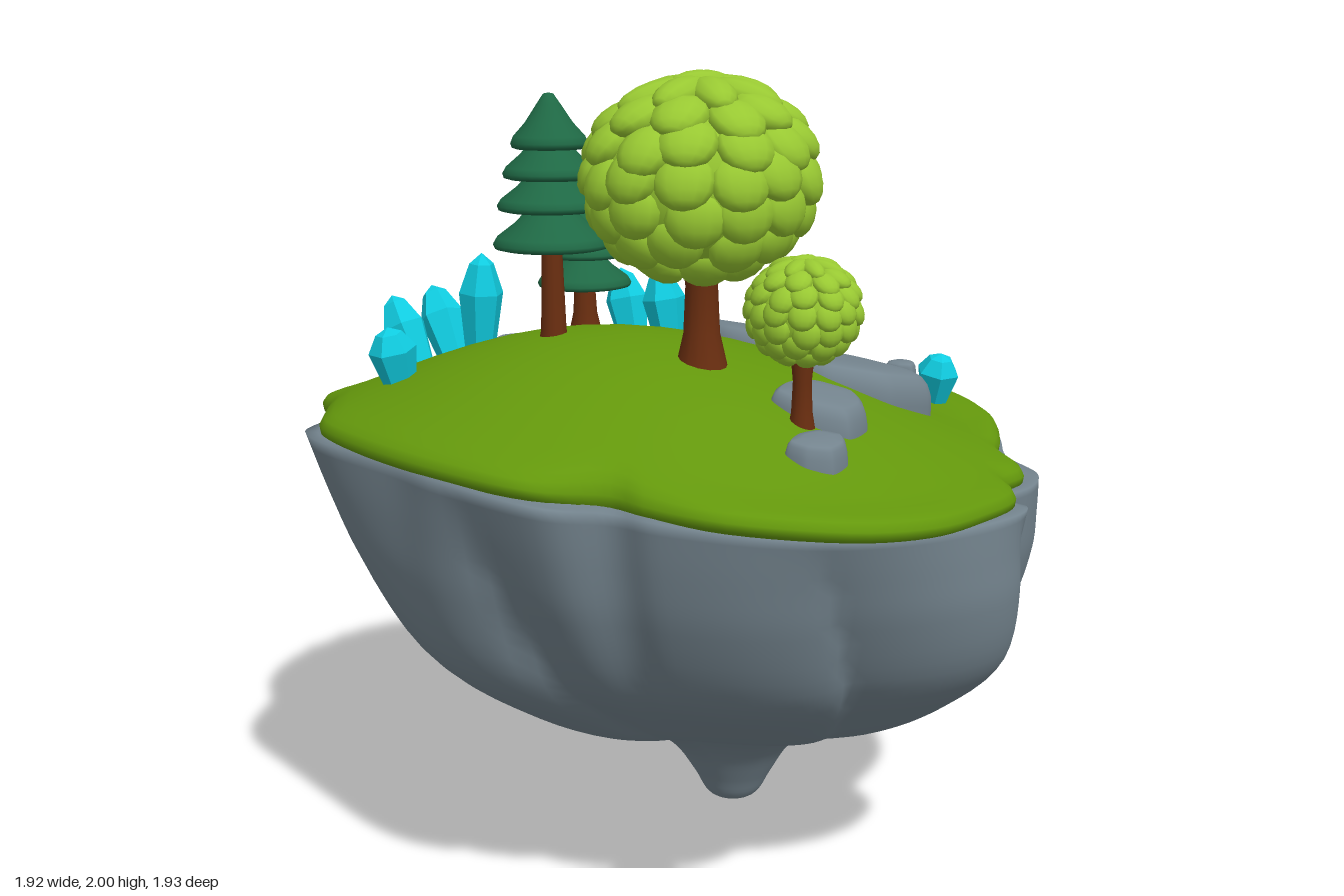
import * as THREE from 'three';
import { mergeGeometries } from 'three/addons/utils/BufferGeometryUtils.js';

const mat = (name, color) => {
  const m = new THREE.MeshStandardMaterial({ color });
  m.name = name;
  return m;
};
const lerp = THREE.MathUtils.lerp;

// Height of the turf rim and of the domed ground above it
const rimY = (x) => 1.045 - 0.085 * x + 0.055 * x * x;
const groundY = (x, z) => {
  const d = ((x + 0.2) / (x > -0.2 ? 0.92 : 0.75)) ** 2 + (z / 0.89) ** 2;
  const knoll = 0.04 * Math.exp(-((x - 0.68) ** 2 + (z - 0.05) ** 2) / 0.05);
  return rimY(x) + 0.06 + 0.26 * Math.max(0, 1 - d) ** 1.3 + knoll;
};

// Smooth closed outline in plan, clockwise seen from above
const outline = (pairs, n, tension = 0.5) => new THREE.CatmullRomCurve3(
  pairs.map(([x, z]) => new THREE.Vector3(x, 0, z)), true, 'catmullrom', tension).getPoints(n).slice(0, n);

// Skin over closed rings ordered from top centre to bottom
function loft(rings) {
  const n = rings[0].length, pos = [], idx = [];
  rings.forEach((r) => r.forEach((p) => pos.push(p.x, p.y, p.z)));
  for (let i = 0; i < rings.length - 1; i++) {
    for (let j = 0; j < n; j++) {
      const a = i * n + j, b = i * n + (j + 1) % n;
      idx.push(a, b, a + n, b, b + n, a + n);
    }
  }
  const g = new THREE.BufferGeometry();
  g.setAttribute('position', new THREE.Float32BufferAttribute(pos, 3));
  g.setIndex(idx);
  g.computeVertexNormals();
  return g;
}

const lathe = (pts, seg) => new THREE.LatheGeometry(pts.map(([r, y]) => new THREE.Vector2(r, y)), seg);

const GRASS = [[-0.2, -0.97], [0.08, -0.93], [0.23, -0.84], [0.25, -0.75], [0.16, -0.64], [0.11, -0.46], [0.26, -0.3],
  [0.4, -0.46], [0.57, -0.51], [0.73, -0.41], [0.86, -0.23], [0.95, -0.02], [0.91, 0.16], [0.81, 0.34], [0.65, 0.48],
  [0.52, 0.57], [0.39, 0.74], [0.26, 0.78], [0.16, 0.88], [-0.02, 0.93], [-0.23, 0.96], [-0.44, 0.92], [-0.64, 0.78],
  [-0.72, 0.62], [-0.75, 0.52], [-0.88, 0.41], [-0.94, 0.21], [-0.96, -0.03], [-0.93, -0.28], [-0.84, -0.44],
  [-0.75, -0.57], [-0.67, -0.73], [-0.49, -0.88]];
const ROCK = [[-0.2, -0.94], [0.1, -0.95], [0.24, -0.88], [0.41, -0.77], [0.53, -0.66], [0.62, -0.52], [0.75, -0.46],
  [0.84, -0.25], [0.94, -0.02], [0.91, 0.18], [0.79, 0.37], [0.64, 0.5], [0.59, 0.56], [0.52, 0.69], [0.4, 0.76],
  [0.25, 0.79], [0.21, 0.88], [0.05, 0.92], [-0.22, 0.92], [-0.44, 0.88], [-0.6, 0.78], [-0.72, 0.64], [-0.76, 0.54],
  [-0.89, 0.46], [-0.94, 0.2], [-0.93, 0], [-0.95, -0.25], [-0.91, -0.4], [-0.83, -0.5], [-0.73, -0.6], [-0.64, -0.75],
  [-0.46, -0.86]];

function grassGeometry() {
  const o = outline(GRASS, 160);
  // [scale, share of the height from rim to ground]
  const rows = [0, 0.1, 0.2, 0.3, 0.4, 0.5, 0.6, 0.7, 0.8, 0.88, 0.93].map((t) => [t, 1]);
  rows.push([0.965, 0.92], [0.987, 0.75], [1, 0.45], [0.997, 0.15], [0.98, 0], [0.92, -0.1]);
  return loft(rows.map(([t, s]) => o.map((p) => {
    const x = p.x * t, z = p.z * t;
    return new THREE.Vector3(x, lerp(rimY(x), groundY(x, z), s), z);
  })));
}

// Overlapping slabs: each rises steeply at one edge and fades to the next
const EDGES = [0, 0.1, 0.22, 0.33, 0.46, 0.58, 0.7, 0.83, 0.91, 1];
function slab(theta, k) {
  const u = (((theta / (2 * Math.PI) + 0.05 * k) % 1) + 1) % 1;
  const i = EDGES.findIndex((e) => e > u);
  const p = (u - EDGES[i - 1]) / (EDGES[i] - EDGES[i - 1]);
  return Math.sin(Math.PI * p ** 0.6) - 0.6;
}

function rockGeometry() {
  const o = outline(ROCK, 200), rings = [];
  for (const t of [0, 0.2, 0.4, 0.6, 0.75, 0.86, 0.93, 0.97]) {
    rings.push(o.map((p) => {
      const x = p.x * t, z = p.z * t, top = groundY(x, z) - 0.06;
      return new THREE.Vector3(x, t > 0.9 ? Math.min(top, rimY(x) + 0.01) : top, z);
    }));
  }
  // Side profile: [scale, height, sideways drift of the centre]
  const side = [[1, 1.05, 0], [0.99, 0.95, 0.01], [0.975, 0.84, 0.025], [0.91, 0.66, 0.05], [0.755, 0.51, 0.09],
    [0.59, 0.4, 0.115], [0.32, 0.3, 0.118], [0.19, 0.2, 0.125], [0.12, 0.1, 0.13], [0.075, 0.03, 0.13], [0, 0, 0.13]];
  const curve = new THREE.CatmullRomCurve3(side.map((s) => new THREE.Vector3(...s)));
  for (const { x: f, y, z: cx } of curve.getPoints(50)) {
    const k = 1 - y / 1.05;
    const amp = 0.085 * Math.sin(Math.PI * Math.min(1, k * 1.2));
    const gully = 0.16 * Math.sin(Math.PI * Math.min(1, k * 1.3) ** 0.7);
    rings.push(o.map((p) => {
      const a = Math.atan2(p.z, p.x);
      const groove = gully * Math.exp(-(((a + 1.12) / 0.17) ** 2));
      // The plan turns from the rim outline to a soft diamond, then round at the tip
      const plan = 0.94 * (1 - 0.13 * Math.sin(2 * a) ** 2 * Math.min(1, f * 2));
      const r = Math.max(0, f) * lerp(Math.hypot(p.x, p.z), plan, Math.min(1, 1.5 * k)) * (1 + amp * slab(a, k) - groove);
      const x = cx + r * Math.cos(a);
      const h = y * lerp(1, rimY(x) / 1.05, (y / 1.05) ** 3);
      return new THREE.Vector3(x, Math.max(0, h), r * Math.sin(a));
    }));
  }
  return loft(rings);
}

// Stone with a sloping flat top and rounded edges, sunk into the ground
function stoneGeometry(pairs, top, sx, sz) {
  const o = outline(pairs, 48, 0.3);
  const c = o.reduce((s, p) => s.add(p), new THREE.Vector3()).divideScalar(o.length);
  const rows = [[0, 0], [0.5, 0], [0.8, 0.004], [0.9, 0.012], [0.97, 0.03], [1.01, 0.055], [1.02, 0.085]];
  const rings = rows.map(([t, drop]) => o.map((p) => {
    const x = lerp(c.x, p.x, t), z = lerp(c.z, p.z, t);
    return new THREE.Vector3(x, top + sx * (x - c.x) + sz * (z - c.z) - drop, z);
  }));
  rings.push(o.map((p, i) => new THREE.Vector3(p.x, Math.min(rings[6][i].y - 0.01, groundY(p.x, p.z) - 0.08), p.z)));
  return loft(rings);
}
const blob = (x, z, rx, rz) => [0, 1, 2, 3, 4, 5, 6].map((i) => {
  const a = i / 7 * 2 * Math.PI, w = i % 2 ? 0.93 : 1.05;
  return [x + rx * w * Math.cos(a), z + rz * w * Math.sin(a)];
});

// Round crown covered in overlapping leaf scales
function crownGeometry() {
  const parts = [new THREE.SphereGeometry(0.94, 24, 16)], o = new THREE.Object3D();
  // [latitude, count, half width, half height, tilt]
  const rows = [[86, 2, 0.17, 0.3, 0], [66, 8, 0.19, 0.36, -0.15], [44, 10, 0.25, 0.3, -0.3], [24, 12, 0.26, 0.28, -0.3],
    [4, 13, 0.26, 0.28, -0.3], [-17, 12, 0.26, 0.28, -0.3], [-38, 10, 0.25, 0.27, -0.3], [-60, 7, 0.24, 0.26, -0.3]];
  rows.forEach(([lat, n, w, h, tilt], row) => {
    for (let i = 0; i < n; i++) {
      const wobble = Math.sin(i * 2.4 + row * 1.7);
      const f = (lat + 3 * wobble) * Math.PI / 180, a = (i + (row % 2) / 2 + 0.1 * wobble) / n * 2 * Math.PI;
      o.position.set(Math.cos(f) * Math.cos(a), Math.sin(f), Math.cos(f) * Math.sin(a)).multiplyScalar(0.9);
      o.lookAt(o.position.clone().multiplyScalar(2));
      o.rotateX(tilt);
      o.scale.set(w, h, 0.16);
      o.updateMatrix();
      parts.push(new THREE.SphereGeometry(1, 12, 8).applyMatrix4(o.matrix));
    }
  });
  return mergeGeometries(parts);
}

export function createModel() {
  const rock = mat('slate rock', 0x74848e), grass = mat('grass green', 0x64980c), leaf = mat('leaf lime', 0x98c832);
  const pine = mat('pine green', 0x1f6945), bark = mat('bark brown', 0x6a2e10), gem = mat('crystal cyan', 0x10cce0);
  const root = new THREE.Group();
  root.name = 'floatingIsland';
  const add = (name, geo, m, parent = root) => {
    const mesh = new THREE.Mesh(geo, m);
    mesh.name = name;
    parent.add(mesh);
    return mesh;
  };
  const group = (name, x, y, z) => {
    const g = new THREE.Group();
    g.name = name;
    g.position.set(x, y, z);
    root.add(g);
    return g;
  };

  add('rockBody', rockGeometry(), rock);
  add('grassTop', grassGeometry(), grass);

  // Stones: [outline, top height, slope along x, slope along z]
  const stones = [
    [[[-0.2, -0.63], [-0.09, -0.75], [0.04, -0.8], [0.22, -0.7], [0.23, -0.57], [0.04, -0.45], [-0.1, -0.52]], 1.265, -0.1, 0.2],
    [[[0.24, -0.17], [0.27, -0.37], [0.4, -0.48], [0.58, -0.4], [0.64, -0.2], [0.58, -0.05], [0.44, 0.03], [0.29, -0.05]], 1.285, -0.22, 0],
    [[[0.06, 0.2], [0.15, 0.06], [0.32, 0.04], [0.46, 0.12], [0.45, 0.34], [0.38, 0.45], [0.21, 0.46], [0.08, 0.36]], 1.285, -0.2, -0.04],
    [[[0.18, -0.68], [0.26, -0.77], [0.4, -0.74], [0.51, -0.63], [0.48, -0.52], [0.3, -0.54]], 1.12, -0.1, 0.15],
    [[[0.15, -0.48], [0.25, -0.59], [0.38, -0.57], [0.42, -0.44], [0.3, -0.36]], 1.19, -0.2, 0.2],
    [blob(-0.13, 0.54, 0.12, 0.11), 1.3, -0.08, -0.2], [blob(-0.3, 0.69, 0.08, 0.06), 1.25, 0, -0.15],
    [blob(0.69, 0.1, 0.045, 0.05), 1.195, 0, 0],
  ];
  stones.forEach(([pairs, ...top], i) => add('stone' + (i + 1), stoneGeometry(pairs, ...top), rock));

  // Hanging drip below the gully
  add('rockDrip', lathe([[0, 0.4], [0.02, 0.41], [0.032, 0.45], [0.027, 0.5], [0.015, 0.57], [0.016, 0.68], [0.025, 0.8],
    [0.05, 0.92], [0.06, 1.0], [0, 1.02]], 16), rock).position.set(0.33, 0, -0.62);

  // Round trees: [name, x, ground, z, crown centre height, crown radii, trunk radius]
  for (const [name, x, y, z, cy, rx, ry, rz, tr] of [
    ['largeRoundTree', -0.26, 1.33, 0.285, 0.435, 0.275, 0.226, 0.24, 0.05],
    ['smallRoundTree', -0.235, 1.22, 0.58, 0.28, 0.123, 0.116, 0.123, 0.028]]) {
    const g = group(name, x, y, z);
    add('trunk', lathe([[tr * 1.25, 0], [tr * 0.85, cy * 0.2], [tr * 0.75, cy * 0.45], [tr * 1.1, cy * 0.8]], 14), bark, g);
    add('crown', crownGeometry().scale(rx, ry, rz), leaf, g).position.y = cy;
  }

  // Pines with stacked skirts
  for (const [name, x, y, z, clear, s] of [['tallPine', -0.39, 1.33, -0.1, 0.26, 1], ['shortPine', -0.17, 1.33, -0.25, 0.13, 0.86]]) {
    const g = group(name, x, y, z);
    add('trunk', lathe([[0.045, 0], [0.031, 0.06], [0.022, clear + 0.08]], 12), bark, g);
    for (const [r, base, h] of [[0.14, 0, 0.13], [0.128, 0.09, 0.12], [0.113, 0.165, 0.12], [0.092, 0.235, 0.125]]) {
      const skirt = lathe([[0, 0.03], [r * 0.85, -0.004], [r * 0.97, 0], [r, 0.01], [r * 0.93, h * 0.2], [r * 0.62, h * 0.45],
        [r * 0.3, h * 0.8], [0.012, h * 0.98], [0, h]], 24);
      const m = add('skirt', skirt, pine, g);
      m.scale.setScalar(s);
      m.position.y = clear + base * s;
    }
  }

  // Crystals: [x, z, base, height, radius, lean about x, lean about z]
  [[-0.69, -0.32, 1.26, 0.15, 0.058, 0, 0.2], [-0.45, -0.59, 1.21, 0.23, 0.06, -0.5, 0.1],
    [-0.34, -0.59, 1.22, 0.24, 0.06, -0.5, -0.05], [-0.3, -0.54, 1.25, 0.28, 0.06, 0.08, 0],
    [0.05, -0.31, 1.26, 0.22, 0.058, -0.1, -0.15], [0.1, -0.22, 1.27, 0.21, 0.058, 0, -0.15],
    [0.7, 0.21, 1.1, 0.14, 0.06, 0.3, -0.1]].forEach(([x, z, y, h, r, ax, az], i) => {
    const g = lathe([[0, 0], [r * 0.65, 0], [r, h * 0.62], [r * 0.55, h * 0.9], [0, h]], 6).toNonIndexed();
    g.computeVertexNormals();
    const m = add('crystal' + (i + 1), g, gem);
    m.position.set(x, y, z);
    m.rotation.set(ax, i * 0.4, az);
  });
  return root;
}
